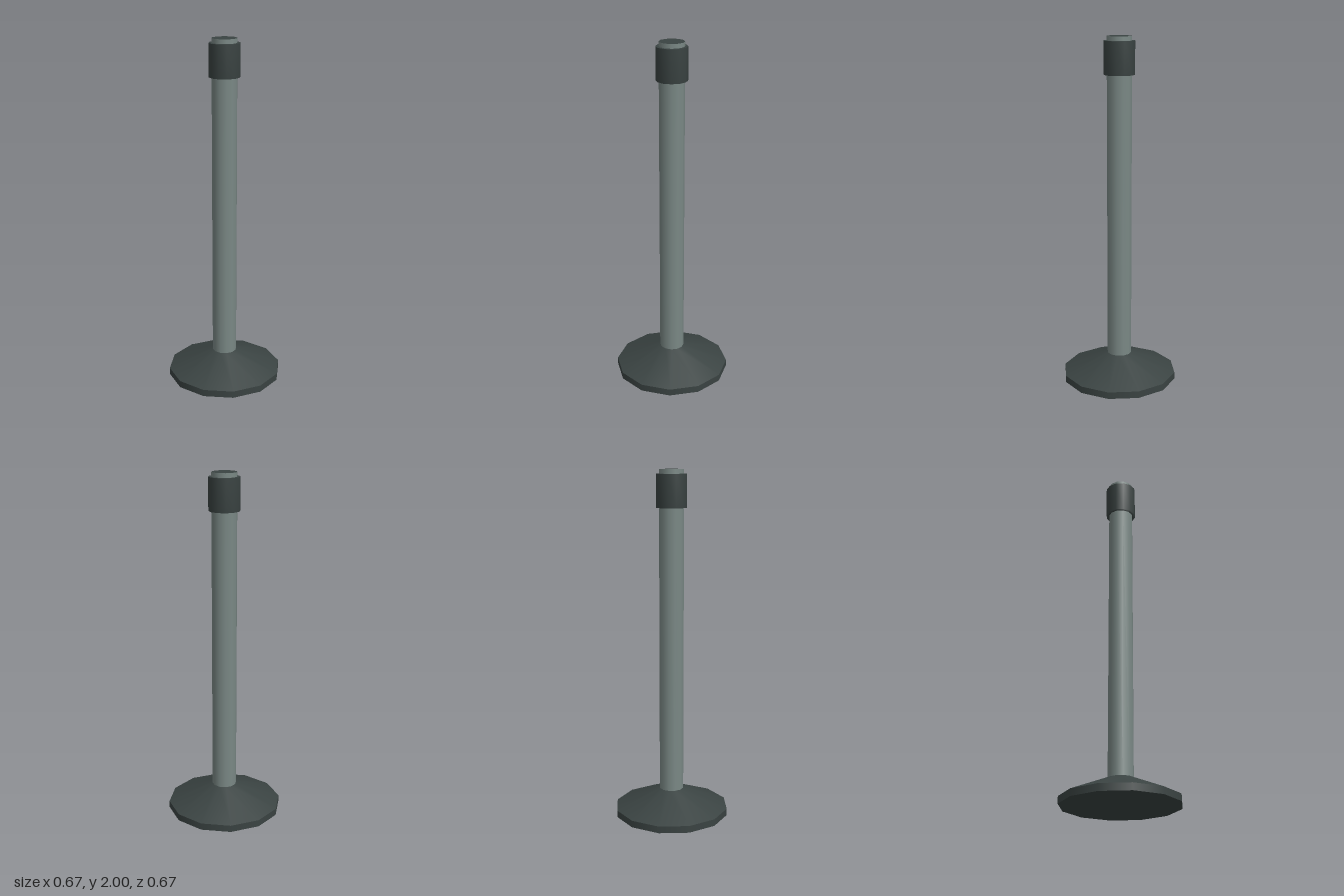
import * as THREE from 'three';

const SIDES = 12;
const POLE_R = 0.071, COLLAR_R = 0.088, BASE_R = 0.333;
const RIM_Y = 0.04, CONE_Y = 0.15, COLLAR_Y0 = 1.79, COLLAR_Y1 = 1.975, TOP_Y = 2;

export function createModel() {
  const dark = new THREE.MeshStandardMaterial({ color: 0x3a4342 });
  dark.name = 'dark rubber';
  const steel = new THREE.MeshStandardMaterial({ color: 0x7a8885 });
  steel.name = 'grey steel';

  const group = new THREE.Group();
  group.name = 'barrierPost';

  const add = (name, geometry, material, y = 0) => {
    const mesh = new THREE.Mesh(geometry, material);
    mesh.name = name;
    mesh.position.y = y;
    group.add(mesh);
  };
  const lathe = (...points) =>
    new THREE.LatheGeometry(points.map(([r, y]) => new THREE.Vector2(r, y)), SIDES);
  const cylinder = (r, y0, y1) => new THREE.CylinderGeometry(r, r, y1 - y0, SIDES);

  // Weighted foot: short rim with a sloping cone on top
  add('baseRim', cylinder(BASE_R, 0, RIM_Y), dark, RIM_Y / 2);
  add('baseCone', lathe([BASE_R, RIM_Y], [POLE_R, CONE_Y]), dark);

  // Pole, flaring into a lip hidden in the collar so its shading softens upwards
  const lipY = COLLAR_Y0 + 0.004;
  add('pole', lathe([POLE_R, CONE_Y - 0.002], [POLE_R, lipY], [COLLAR_R - 0.004, lipY]), steel);

  // Belt collar: underside and wall blended, flat lid on top
  add('collar', lathe([POLE_R, COLLAR_Y0], [COLLAR_R, COLLAR_Y0], [COLLAR_R, COLLAR_Y1]), dark);
  const lid = new THREE.CircleGeometry(COLLAR_R, SIDES).rotateX(-Math.PI / 2);
  add('collarLid', lid, dark, COLLAR_Y1);

  // Pole end above the collar, steel wall with a dark cap
  add('poleEnd', cylinder(POLE_R, COLLAR_Y1, TOP_Y), [steel, dark, dark], (COLLAR_Y1 + TOP_Y) / 2);

  return group;
}
